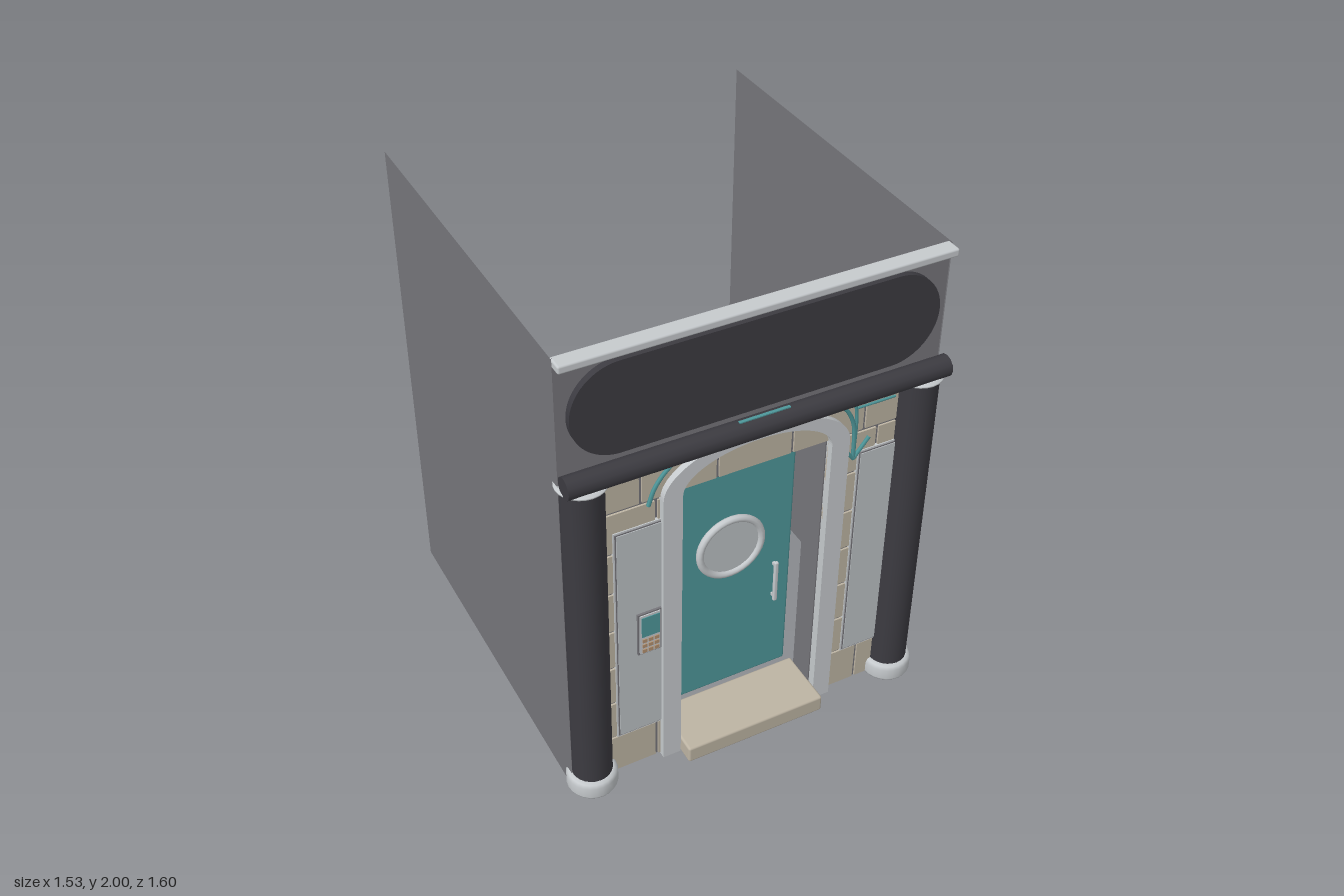
import * as THREE from 'three';
import { RoundedBoxGeometry } from 'three/addons/geometries/RoundedBoxGeometry.js';

const mat = (name, color, side = THREE.FrontSide) => {
  const m = new THREE.MeshStandardMaterial({ color, side });
  m.name = name;
  return m;
};

export function createModel() {
  const root = new THREE.Group();
  root.name = 'shopEntrance';

  const grey = mat('wall grey', 0x76757a, THREE.DoubleSide);
  const dark = mat('charcoal', 0x3c3b41);
  const light = mat('pale metal', 0xc6cacd);
  const glass = mat('frosted glass', 0xbcc1c4);
  const teal = mat('teal', 0x4e979a);
  const beige = mat('beige stone', 0xbdb4a3);
  const tan = mat('tan', 0xb3916f);

  const add = (name, geo, material, x = 0, y = 0, z = 0) => {
    const m = new THREE.Mesh(geo, material);
    m.name = name;
    m.position.set(x, y, z);
    root.add(m);
    return m;
  };
  // Box given by its limits on each axis
  const box = (name, material, x0, x1, y0, y1, z0, z1, r = 0) => {
    const w = x1 - x0, h = y1 - y0, d = z1 - z0;
    const geo = r ? new RoundedBoxGeometry(w, h, d, 2, r) : new THREE.BoxGeometry(w, h, d);
    return add(name, geo, material, (x0 + x1) / 2, (y0 + y1) / 2, (z0 + z1) / 2);
  };
  const extrude = (shape, depth) =>
    new THREE.ExtrudeGeometry(shape, { depth, bevelEnabled: false, curveSegments: 20 });
  const tube = (name, points, r = 0.008) => add(name, new THREE.TubeGeometry(
    new THREE.CatmullRomCurve3(points.map(p => new THREE.Vector3(p[0], p[1], 0.722))),
    16, r, 6), teal);

  // Side walls
  for (const s of [-1, 1]) {
    const wall = add('sideWall', new THREE.PlaneGeometry(1.5, 2), grey, s * 0.75, 1, -0.05);
    wall.rotation.y = s * Math.PI / 2;
  }

  // Front wall with the doorway cut out
  const front = new THREE.Shape();
  [[-0.75, 0], [-0.3, 0], [-0.3, 1.3], [0.3, 1.3], [0.3, 0], [0.75, 0], [0.75, 2], [-0.75, 2]]
    .forEach(([x, y], i) => (i ? front.lineTo(x, y) : front.moveTo(x, y)));
  add('frontWall', new THREE.ShapeGeometry(front), grey, 0, 0, 0.694);

  // Stone blocks in running bond, clipped around the doorway
  const rows = [0, 0.19, 0.375, 0.56, 0.745, 0.93, 1.115, 1.3, 1.435, 1.49];
  const gap = 0.006;
  for (let i = 0; i < rows.length - 1; i++) {
    const y0 = rows[i] + gap, y1 = rows[i + 1] - gap;
    const spans = y0 < 1.3 ? [[-0.64, -0.3], [0.3, 0.64]] : [[-0.64, 0.64]];
    const shift = i % 2 ? 0.15 : 0.1;
    for (const [a, b] of spans) {
      for (let x = -1.05 + (shift === 0.15 ? 0 : 0.0) + (i % 2 ? 0 : 0.06); x < 0.75; x += 0.3) {
        const x0 = Math.max(a, x + gap), x1 = Math.min(b, x + 0.3 - gap);
        if (x1 - x0 > 0.01) box('stoneBlock', beige, x0, x1, y0, y1, 0.696, 0.704);
      }
    }
  }

  // Sign board, top cornice and awning roll
  const w = 0.525, r = 0.185;
  const pill = new THREE.Shape();
  pill.absarc(w, 0, r, -Math.PI / 2, Math.PI / 2);
  pill.absarc(-w, 0, r, Math.PI / 2, Math.PI * 1.5);
  add('signBoard', extrude(pill, 0.026), dark, 0, 1.755, 0.697);
  box('cornice', light, -0.75, 0.75, 1.968, 2, 0.68, 0.745, 0.008);
  const roll = add('awningRoll', new THREE.CylinderGeometry(0.043, 0.043, 1.5, 12), dark, 0, 1.517, 0.747);
  roll.rotation.z = Math.PI / 2;
  box('rollTrim', teal, -0.1, 0.1, 1.553, 1.562, 0.744, 0.756);

  // Columns with rounded bases and flat caps
  const baseProfile = [[0, 0], [0.095, 0], [0.1, 0.01], [0.1, 0.055], [0.093, 0.07], [0.08, 0.077], [0, 0.077]]
    .map(p => new THREE.Vector2(...p));
  const capProfile = [[0, 0], [0.075, 0], [0.094, 0.012], [0.094, 0.018], [0.08, 0.024], [0, 0.024]]
    .map(p => new THREE.Vector2(...p));
  for (const s of [-1, 1]) {
    const x = s * 0.667;
    add('columnShaft', new THREE.CylinderGeometry(0.08, 0.08, 1.41, 24), dark, x, 0.765, 0.7);
    add('columnBase', new THREE.LatheGeometry(baseProfile, 24), light, x, 0, 0.7);
    add('columnCap', new THREE.LatheGeometry(capProfile, 24), light, x, 1.465, 0.7);
  }

  // Door surround: legs joined by a flattened arch
  const arch = new THREE.Shape();
  arch.moveTo(0.375, 0);
  arch.lineTo(0.375, 1.3);
  arch.absellipse(0, 1.3, 0.375, 0.19, 0, Math.PI, false);
  arch.lineTo(-0.375, 0);
  arch.lineTo(-0.3, 0);
  arch.lineTo(-0.3, 1.3);
  arch.absellipse(0, 1.3, 0.3, 0.14, Math.PI, 0, true);
  arch.lineTo(0.3, 0);
  add('doorSurround', extrude(arch, 0.035), light, 0, 0, 0.695);

  // Doorway reveal
  for (const s of [-1, 1]) box('doorJamb', grey, s * 0.3 - 0.004, s * 0.3 + 0.004, 0, 1.308, 0.58, 0.694);
  box('doorLintel', grey, -0.296, 0.296, 1.3, 1.308, 0.58, 0.694);

  // Arched light behind the wall above the door
  const lunette = (rx, ry) => {
    const s = new THREE.Shape();
    s.absellipse(0, 0, rx, ry, 0, Math.PI, false);
    s.closePath();
    return s;
  };
  const ring = lunette(0.3, 0.23);
  ring.holes.push(lunette(0.25, 0.18));
  add('fanlightFrame', extrude(ring, 0.03), light, 0, 1.31, 0.545);
  add('fanlightPane', extrude(lunette(0.252, 0.182), 0.01), glass, 0, 1.31, 0.555);

  // Door, porthole, handle, rear drum and step
  box('door', teal, -0.273, 0.273, 0.08, 1.293, 0.515, 0.543, 0.01);
  add('portholeRing', new THREE.TorusGeometry(0.132, 0.015, 10, 32), light, 0, 0.803, 0.553);
  const pane = add('portholePane', new THREE.CylinderGeometry(0.13, 0.13, 0.014, 32), glass, 0, 0.803, 0.548);
  pane.rotation.x = Math.PI / 2;
  box('doorHandle', light, 0.19, 0.208, 0.45, 0.65, 0.556, 0.572, 0.006);
  for (const y of [0.47, 0.63]) box('handlePost', light, 0.193, 0.205, y - 0.006, y + 0.006, 0.54, 0.56);
  const drum = add('rearDrum', new THREE.CylinderGeometry(0.11, 0.11, 0.168, 12).toNonIndexed(), tan, 0, 0.803, 0.431);
  drum.geometry.computeVertexNormals();
  drum.rotation.x = Math.PI / 2;
  box('doorStep', beige, -0.3, 0.3, 0, 0.075, 0.55, 0.8, 0.01);

  // Display windows passing through the wall
  for (const [x0, x1] of [[-0.56, -0.34], [0.43, 0.65]]) {
    box('windowFrame', light, x0, x1, 0.19, 1.21, 0.65, 0.708);
    box('windowRim', grey, x0 + 0.006, x1 - 0.006, 0.197, 1.203, 0.7, 0.71);
    box('windowPane', glass, x0 + 0.011, x1 - 0.011, 0.202, 1.198, 0.7, 0.713);
    box('windowBox', grey, x0 + 0.01, x1 - 0.01, 0.2, 1.2, 0.58, 0.65);
    box('windowBackPane', glass, x0 + 0.03, x1 - 0.03, 0.225, 1.175, 0.577, 0.583);
  }

  // Keypad
  box('keypadRim', grey, -0.475, -0.379, 0.6, 0.8, 0.71, 0.722);
  box('keypadBody', light, -0.469, -0.385, 0.606, 0.794, 0.715, 0.726);
  box('keypadScreen', teal, -0.462, -0.39, 0.69, 0.785, 0.722, 0.729);
  for (let i = 0; i < 9; i++) {
    const x = -0.45 + (i % 3) * 0.024, y = 0.62 + Math.floor(i / 3) * 0.025;
    box('keypadButton', tan, x - 0.009, x + 0.009, y - 0.008, y + 0.008, 0.722, 0.73);
  }

  // Curved teal ornaments beside the arch
  tube('leftCurl', [[-0.3, 1.475], [-0.36, 1.43], [-0.405, 1.37], [-0.43, 1.3]]);
  tube('rightCurl', [[0.3, 1.475], [0.35, 1.44], [0.39, 1.36], [0.4, 1.2]]);
  tube('rightStem', [[0.385, 1.475], [0.4, 1.4], [0.4, 1.2]], 0.006);
  tube('arrowLeft', [[0.4, 1.2], [0.338, 1.28]]);
  tube('arrowRight', [[0.4, 1.2], [0.462, 1.28]]);
  tube('rightRail', [[0.4, 1.428], [0.56, 1.428]], 0.005);

  return root;
}
